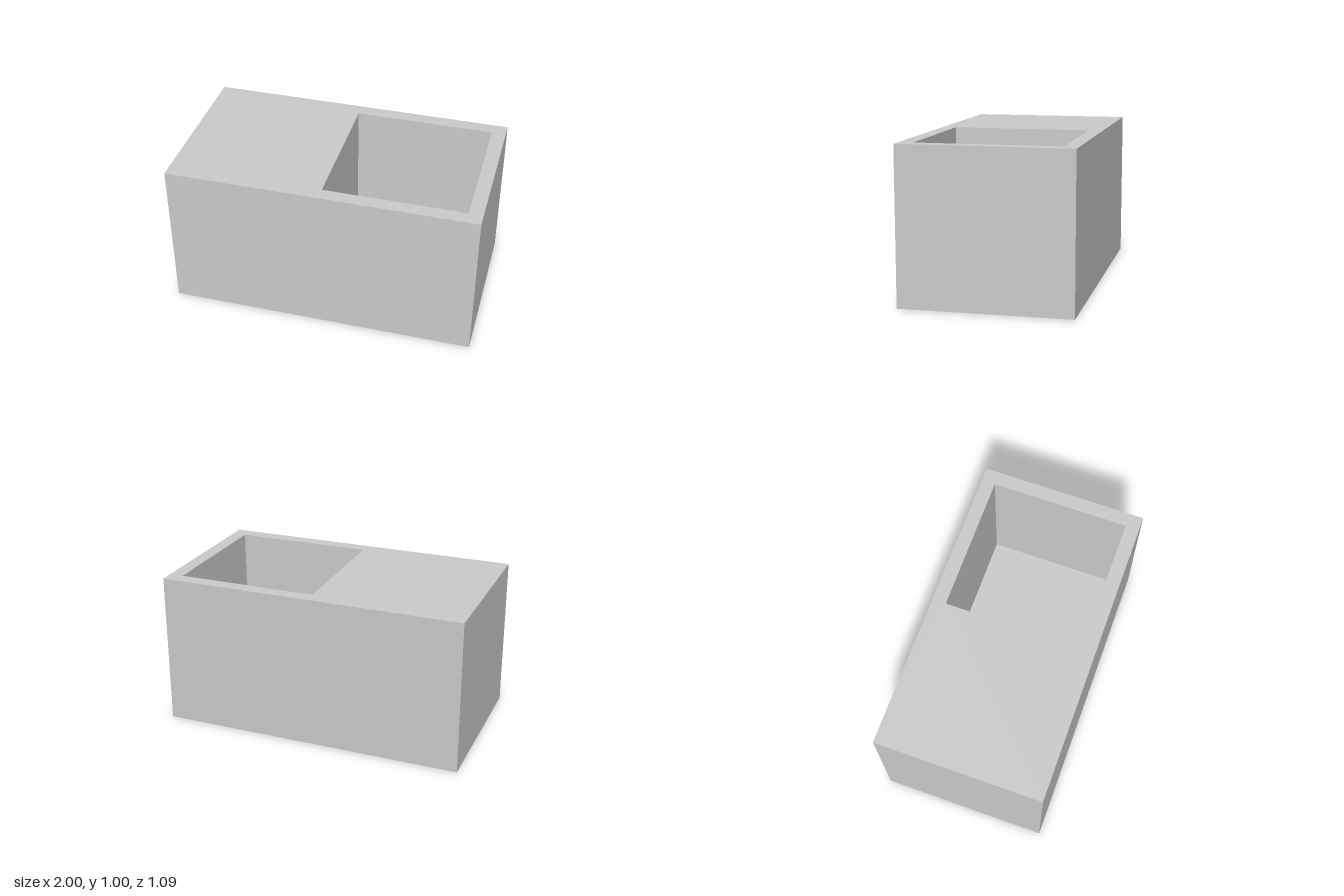
import * as THREE from 'three';

const U = 1 / 11; // wall thickness
const WIDTH = 2, HEIGHT = 1, DEPTH = 12 * U;
const POCKET = 10 * U; // cubic pocket
const POCKET_X = WIDTH / 2 - U - POCKET / 2;

// Box without its top face, standing on y = base; inward turns the faces inside
function openBox(w, h, d, base, inward) {
  const geo = new THREE.BoxGeometry(w, h, d).translate(0, base + h / 2, 0);
  const index = Array.from(geo.index.array);
  index.splice(12, 6);
  if (inward) index.reverse();
  geo.setIndex(index);
  geo.clearGroups();
  geo.computeVertexNormals();
  return geo;
}

// Rectangle outline centred on (x, 0)
function rectangle(target, x, w, d) {
  return target.setFromPoints([[-1, -1], [1, -1], [1, 1], [-1, 1]].map(
    ([sx, sy]) => new THREE.Vector2(x + sx * w / 2, sy * d / 2)));
}

export function createModel() {
  const group = new THREE.Group();
  group.name = 'hollowBlock';
  const material = new THREE.MeshStandardMaterial({ color: 0xcccccc });
  const add = (name, geo) => {
    const mesh = new THREE.Mesh(geo, material);
    mesh.name = name;
    group.add(mesh);
    return mesh;
  };

  // Outer walls and underside
  add('outerBody', openBox(WIDTH, HEIGHT, DEPTH, 0, false));

  // Square pocket: inner walls and floor
  add('pocket', openBox(POCKET, POCKET, POCKET, HEIGHT - POCKET, true)).position.x = POCKET_X;

  // Top surface with the pocket opening
  const top = rectangle(new THREE.Shape(), 0, WIDTH, DEPTH);
  top.holes.push(rectangle(new THREE.Path(), POCKET_X, POCKET, POCKET));
  add('topSurface', new THREE.ShapeGeometry(top).rotateX(-Math.PI / 2).translate(0, HEIGHT, 0));

  return group;
}
